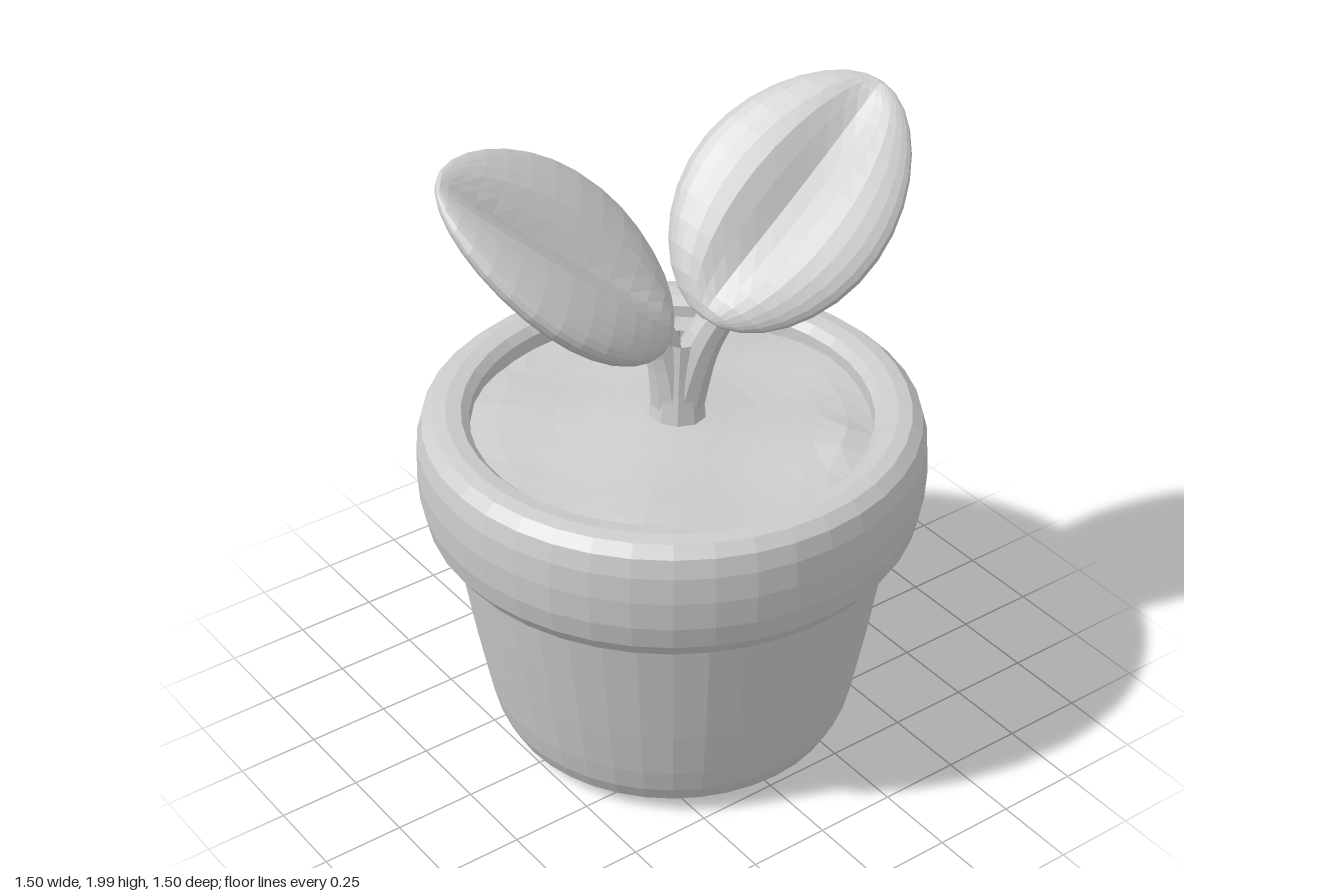
import * as THREE from 'three';

const V = (x, y, z) => new THREE.Vector3(x, y, z);
const material = new THREE.MeshStandardMaterial({ color: 0xcccccc, flatShading: true, side: THREE.DoubleSide });

function part(name, geometry) {
  geometry.computeVertexNormals();
  const mesh = new THREE.Mesh(geometry, material);
  mesh.name = name;
  return mesh;
}

// Move every vertex of a geometry by a rule
function reshape(geometry, rule) {
  const pos = geometry.attributes.position;
  const p = V(0, 0, 0);
  for (let i = 0; i < pos.count; i++) {
    p.fromBufferAttribute(pos, i);
    rule(p, i);
    pos.setXYZ(i, p.x, p.y, p.z);
  }
  return geometry;
}

function lathe(profile) {
  return new THREE.LatheGeometry(profile.map(([r, y]) => new THREE.Vector2(r, y)), 40);
}

// Tube whose radius runs from r0 to r1 along the path
function stalk(name, points, r0, r1) {
  const curve = new THREE.CatmullRomCurve3(points);
  const rings = 8, sides = 10;
  const geometry = new THREE.TubeGeometry(curve, rings, 1, sides);
  return part(name, reshape(geometry, (p, i) => {
    const t = Math.floor(i / (sides + 1)) / rings;
    const c = curve.getPointAt(t);
    p.sub(c).multiplyScalar(THREE.MathUtils.lerp(r0, r1, t)).add(c);
  }));
}

// Plump oval leaf with a grooved midrib: along = base to tip, across = side to side
function leaf(name, centre, along, across, length, width) {
  const geometry = reshape(new THREE.SphereGeometry(1, 32, 16), (p) => {
    const side = Math.abs(p.x);
    const middle = 1 - p.y * p.y;
    const taper = 1 - 0.06 * p.y - 0.1 * p.y * p.y;
    const thick = (p.z > 0 ? 0.085 : 0.105) * (1 - 0.25 * p.y);
    const groove = p.z > 0 ? 0.06 * middle * Math.exp(-((side / 0.22) ** 2)) : 0;
    const fold = 0.045 * (side - 0.4) * (1 - p.y * p.y * 0.6);
    p.set(p.x * width * taper * 1.06, p.y * length, p.z * thick + fold - groove);
  });
  const y = along.clone().normalize();
  const z = across.clone().cross(y).normalize();
  const x = y.clone().cross(z);
  geometry.applyMatrix4(new THREE.Matrix4().makeBasis(x, y, z).setPosition(centre));
  return part(name, geometry);
}

export function createModel() {
  const model = new THREE.Group();
  model.name = 'pottedSprout';

  // Tapered pot with a rounded foot
  model.add(part('potBody', lathe([
    [0, 0.01], [0.43, 0.005], [0.48, 0.02], [0.52, 0.055], [0.547, 0.11], [0.567, 0.19],
    [0.597, 0.35], [0.628, 0.54], [0.66, 0.74],
  ])));

  // Thick rounded rim, open in the middle
  model.add(part('potRim', lathe([
    [0.64, 0.735], [0.66, 0.722], [0.695, 0.735], [0.73, 0.785], [0.747, 0.86], [0.752, 0.95],
    [0.747, 1.03], [0.732, 1.085], [0.70, 1.115], [0.66, 1.122], [0.615, 1.115], [0.592, 1.09], [0.588, 1.0],
  ])));

  // Uneven soil with a small clump near the front left
  const soil = new THREE.RingGeometry(0.001, 0.6, 32, 7).rotateX(-Math.PI / 2);
  model.add(part('soil', reshape(soil, (p) => {
    const r = Math.hypot(p.x, p.z);
    const clump = Math.exp(-((p.x - 0.34) ** 2 + (p.z - 0.42) ** 2) / 0.006);
    p.y = 1.08 - 0.1 * r * r + 0.014 * Math.sin(9 * p.x + 2) * Math.cos(8 * p.z) + 0.03 * clump;
  })));

  // Stem that forks into two stalks
  model.add(stalk('stem', [V(0.01, 1.03, 0.01), V(0.015, 1.18, 0.01), V(0.015, 1.34, 0.02)], 0.095, 0.045));
  model.add(stalk('leftStalk', [V(0.02, 1.12, 0.015), V(0.07, 1.32, 0.045), V(0.15, 1.47, 0.085)], 0.07, 0.048));
  model.add(stalk('rightStalk', [V(0.005, 1.12, 0.005), V(-0.025, 1.32, -0.015), V(-0.1, 1.47, -0.05)], 0.07, 0.043));

  // Two leaves, turned different ways
  model.add(leaf('leftLeaf', V(0.375, 1.70, 0.068), V(0.75, 0.66, 0), V(0.25, -0.41, 0.87), 0.425, 0.295));
  model.add(leaf('rightLeaf', V(-0.33, 1.685, -0.08), V(-0.69, 0.64, -0.34), V(0.57, 0.28, -0.75), 0.42, 0.30));

  return model;
}
